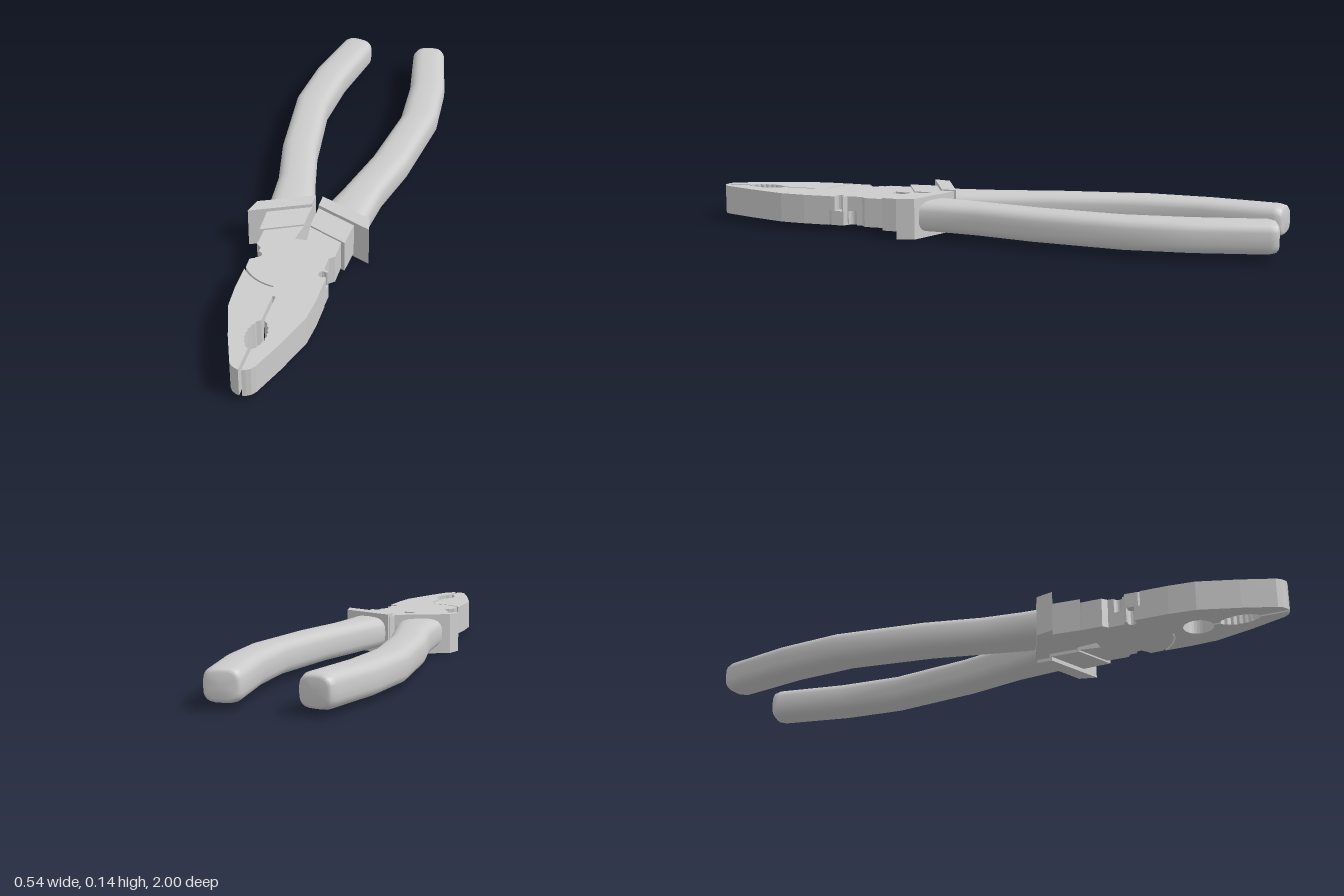
import * as THREE from 'three';

const material = new THREE.MeshStandardMaterial({ color: 0xcccccc });
const CX = -0.003; // tool axis

// Flat plate: outline given as [x, z], extruded between two heights
function plate(name, points, y0, y1) {
  const shape = new THREE.Shape(points.map(([x, z]) => new THREE.Vector2(x, z)));
  const geo = new THREE.ExtrudeGeometry(shape, { depth: y1 - y0, bevelEnabled: false });
  geo.rotateX(Math.PI / 2).translate(CX, y1, 0);
  const mesh = new THREE.Mesh(geo, material);
  mesh.name = name;
  return mesh;
}

const arc = (cx, cz, r, a0, a1, n) => Array.from({ length: n + 1 }, (_, i) => {
  const a = THREE.MathUtils.degToRad(a0 + (a1 - a0) * i / n);
  return [cx + r * Math.cos(a), cz + r * Math.sin(a)];
});

// Half of the head outline on the +x side, from the rear slot round to the jaw slit
function halfHead({ rearNotch, groove, recess }) {
  const p = [[0.02, 0.355], [0.01, 0.28], [0.01, 0.26], [0.125, 0.26], [0.13, 0.345],
    [0.13, 0.415], [0.113, 0.43]];
  // wire-shearing notch, at one of two stations
  if (rearNotch) p.push(...arc(0.113, 0.466, 0.015, 270, 90, 8));
  p.push([0.113, 0.485], [0.13, 0.494]);
  if (!rearNotch) p.push([0.13, 0.498], ...arc(0.115, 0.512, 0.015, 310, 50, 8), [0.13, 0.526]);
  // curved joint line
  if (groove) p.push(...arc(0, 0.455, 0.153, 33, 84, 10), ...arc(0, 0.455, 0.159, 84, 35, 10));
  // tapering jaw and blunt nose
  p.push([0.13, 0.64], [0.123, 0.73], [0.08, 0.865], [0.04, 0.972], [0.03, 0.987], [0.016, 0.996], [0.005, 1]);
  // serrated pipe grip
  const teeth = 14;
  for (let i = 0; i <= teeth; i++) {
    const t = i / teeth;
    const bite = i % 2 ? 0.004 : 0;
    p.push([0.005 + 0.025 * Math.pow(Math.sin(Math.PI * t), 0.7) + (i < teeth ? bite : 0), 0.905 - 0.132 * t]);
  }
  // slit end, or half of the round recess
  if (recess) p.push(...arc(0, 0.7, 0.05, 84, -84, 16));
  else p.push([0.005, 0.655]);
  return p;
}

function headLayer(name, right, left, y0, y1) {
  const mirrored = halfHead(left).map(([x, z]) => [-x, z]).reverse();
  return plate(name, [...halfHead(right), ...mirrored], y0, y1);
}

// Rounded grip lofted through [outer x, outer z, inner x, inner z, scale]
function handle(name, side) {
  const stations = [
    [0.199, -1.0, 0.082, -0.975, 0],
    [0.199, -1.0, 0.082, -0.975, 0.72],
    [0.201, -0.992, 0.083, -0.968, 0.9],
    [0.205, -0.97, 0.085, -0.945, 1],
    [0.252, -0.737, 0.125, -0.7, 1],
    [0.268, -0.52, 0.138, -0.48, 1],
    [0.23, -0.2, 0.1, -0.2, 1],
    [0.186, 0.0, 0.051, 0.01, 1],
    [0.172, 0.15, 0.024, 0.105, 1],
    [0.168, 0.235, 0.016, 0.165, 1],
  ];
  const N = 24, pos = [], idx = [];
  const soft = v => Math.sign(v) * Math.pow(Math.abs(v), 0.65);
  stations.forEach(([ox, oz, ix, iz, k], i) => {
    for (let j = 0; j < N; j++) {
      const a = j / N * Math.PI * 2;
      const c = soft(Math.cos(a)) * k / 2;
      pos.push(side * ((ox + ix) / 2 + (ox - ix) * c), 0.071 + 0.054 * k * soft(Math.sin(a)),
        (oz + iz) / 2 + (oz - iz) * c);
      if (i === stations.length - 1) continue;
      const p = i * N + j, q = i * N + (j + 1) % N;
      if (side > 0) idx.push(p, q, p + N, q, q + N, p + N);
      else idx.push(p, p + N, q, q, p + N, q + N);
    }
  });
  const geo = new THREE.BufferGeometry();
  geo.setAttribute('position', new THREE.Float32BufferAttribute(pos, 3));
  geo.setIndex(idx);
  geo.computeVertexNormals();
  const mesh = new THREE.Mesh(geo, material);
  mesh.name = name;
  return mesh;
}

export function createModel() {
  const group = new THREE.Group();
  group.name = 'pliers';

  // Head in two layers, with the notches swapped between them
  group.add(headLayer('upperHead', {}, { rearNotch: true, groove: true }, 0.07, 0.121));
  group.add(headLayer('lowerHead', { rearNotch: true, groove: true, recess: true }, { recess: true }, 0.02, 0.07));

  for (const [label, s] of [['left', 1], ['right', -1]]) {
    const flip = pts => pts.map(([x, z]) => [s * x, z]);
    // Thicker neck, slanted guard and grip
    group.add(plate(label + 'Neck',
      flip([[0.011, 0.15], [0.15, 0.22], [0.143, 0.345], [0.011, 0.282]]), 0.014, 0.127));
    group.add(plate(label + 'Guard',
      flip([[0.012, 0.13], [0.192, 0.212], [0.206, 0.272], [0.012, 0.182]]), 0, 0.139));
    group.add(handle(label + 'Handle', s));
  }
  return group;
}
